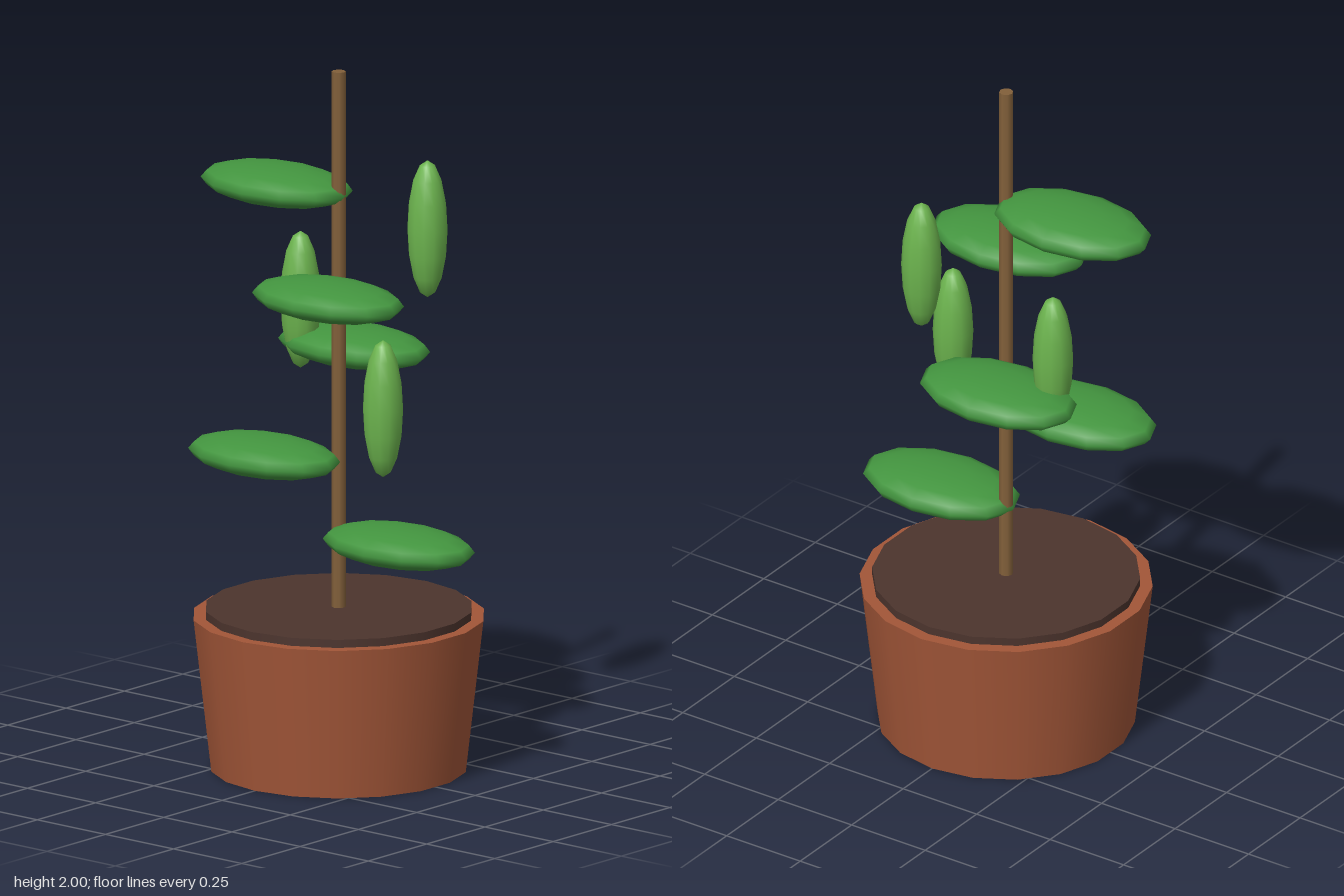
import * as THREE from 'three';

const mat = (name, color) => new THREE.MeshStandardMaterial({ name, color });

export function createModel() {
  const terracotta = mat('terracotta', 0xa25638);
  const soilBrown = mat('soilBrown', 0x4c342d);
  const stemBrown = mat('stemBrown', 0x82603a);
  const leafGreen = mat('leafGreen', 0x43953f);
  const podGreen = mat('podGreen', 0x6cb44e);

  const group = new THREE.Group();
  group.name = 'pottedPlant';
  const add = (name, geometry, material, x, y, z) => {
    const mesh = new THREE.Mesh(geometry, material);
    mesh.name = name;
    mesh.position.set(x, y, z);
    group.add(mesh);
    return mesh;
  };

  // tapered pot, soil disc standing slightly proud, and a straight stem
  add('pot', new THREE.CylinderGeometry(0.41, 0.36, 0.437, 18), terracotta, 0, 0.2185, 0);
  add('soil', new THREE.CylinderGeometry(0.375, 0.375, 0.05, 18), soilBrown, 0, 0.435, 0);
  add('stem', new THREE.CylinderGeometry(0.02, 0.02, 1.56, 8), stemBrown, 0, 1.22, 0);

  // flat leaves, spaced up and around the stem
  const ball = new THREE.SphereGeometry(1, 12, 8);
  [0, 2.1, 4.2, 1.0, 3.1].forEach((angle, i) => {
    add('leaf' + (i + 1), ball, leafGreen, Math.cos(angle) * 0.22, 0.672 + i * 0.2425, Math.sin(angle) * 0.22)
      .scale.set(0.246, 0.053, 0.154);
  });

  // upright hanging pods
  [[0.265, 1.097, 0.12], [-0.243, 1.28, -0.12], [0.12, 1.52, -0.24]].forEach((p, i) => {
    add('pod' + (i + 1), ball, podGreen, ...p).scale.set(0.057, 0.197, 0.057);
  });

  return group;
}
